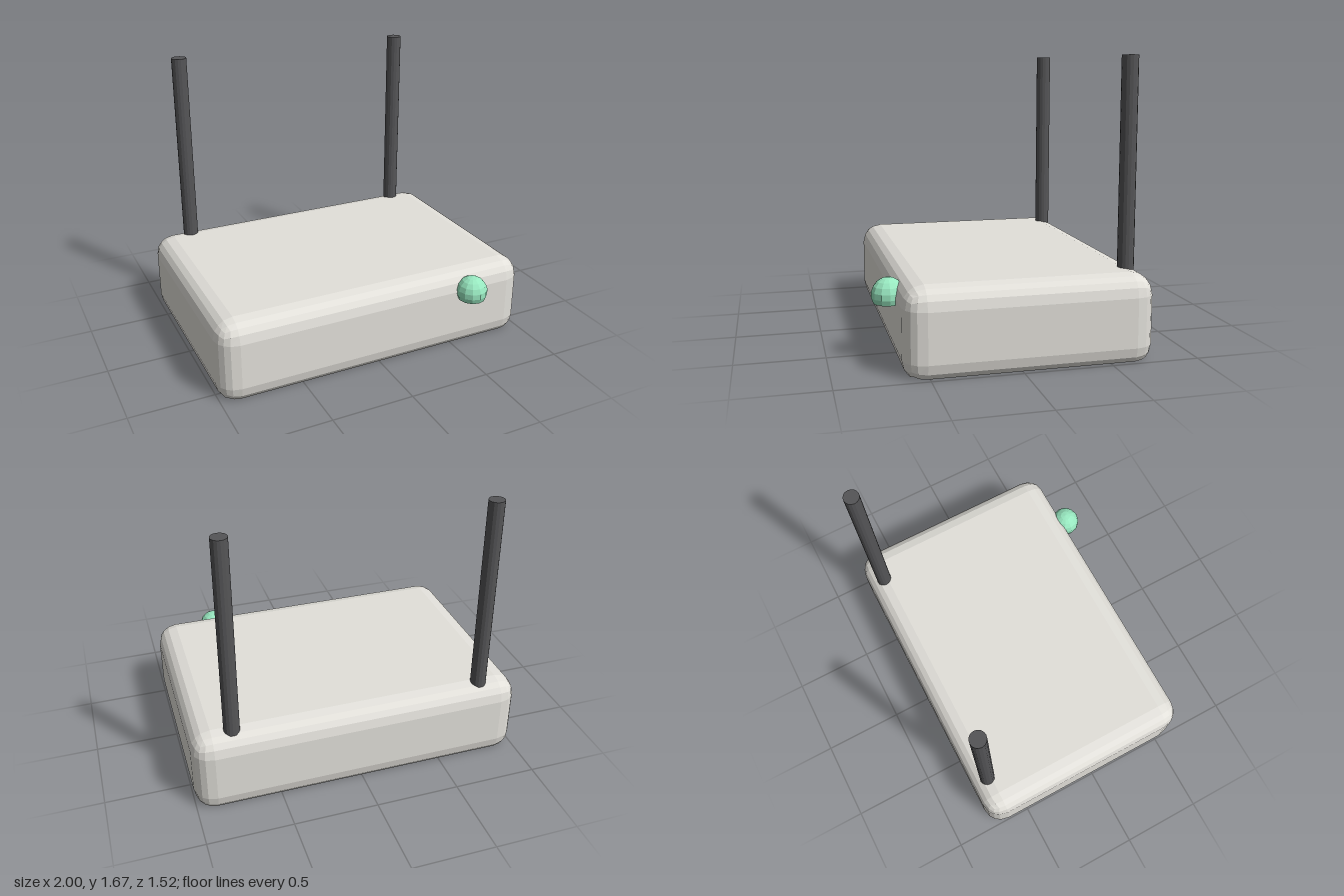
import * as THREE from 'three';
import { RoundedBoxGeometry } from 'three/addons/geometries/RoundedBoxGeometry.js';

const paint = (color) =>
  new THREE.MeshStandardMaterial({ color, flatShading: true, side: THREE.DoubleSide });

// Rounded box whose underside (the fourth of its six equal faces) is left out
function openShell(width, height, depth, radius) {
  const geometry = new RoundedBoxGeometry(width, height, depth, 2, radius);
  const perFace = geometry.attributes.position.count / 6;
  for (const [key, attribute] of Object.entries(geometry.attributes)) {
    const size = attribute.itemSize;
    const values = Array.from(attribute.array);
    values.splice(3 * perFace * size, perFace * size);
    geometry.setAttribute(key, new THREE.Float32BufferAttribute(values, size));
  }
  geometry.clearGroups();
  return geometry;
}

export function createModel() {
  const model = new THREE.Group();
  const add = (name, geometry, material, x, y, z) => {
    const mesh = new THREE.Mesh(geometry, material);
    mesh.name = name;
    mesh.position.set(x, y, z);
    model.add(mesh);
  };

  // Hollow housing, its lower rim curling in halfway round the edge
  const radius = 0.12;
  const top = 0.485;
  const bottom = -radius * (1 - Math.SQRT1_2);
  add('housing', openShell(2, top - bottom, 1.395, radius), paint(0xe2e0da),
    0, (top + bottom) / 2, -0.0625);

  // Pair of upright antennas at the back corners
  const antennaBase = 0.465;
  const antennaTop = 1.667;
  const antenna = new THREE.CylinderGeometry(0.047, 0.047, antennaTop - antennaBase, 16);
  const dark = paint(0x555557);
  for (const [name, side] of [['leftAntenna', 1], ['rightAntenna', -1]]) {
    add(name, antenna, dark, side * 0.76, (antennaBase + antennaTop) / 2, -0.66);
  }

  // Domed indicator light on the front, open below
  const dome = new THREE.SphereGeometry(0.095, 12, 6, 0, Math.PI * 2, 0, Math.PI * 2 / 3);
  add('indicatorLight', dome, paint(0x98e8c0), 0.6, 0.37, 0.663);

  return model;
}
